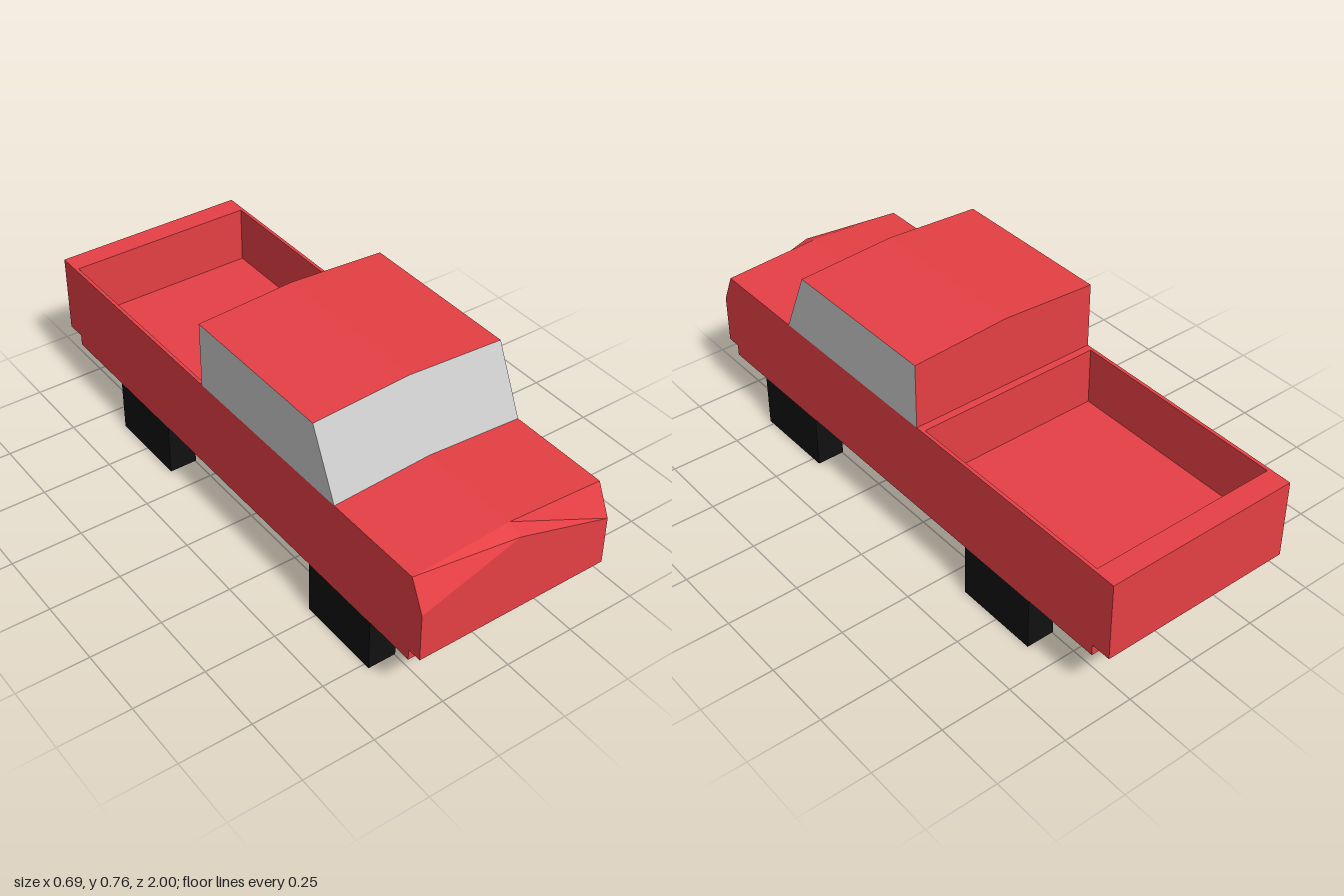
import * as THREE from 'three';

const W = 0.347;     // half width of the truck
const BED_W = 0.335; // half width of the bed opening

const paint = new THREE.MeshStandardMaterial({ color: 0xe74045, flatShading: true, side: THREE.DoubleSide });
const glass = new THREE.MeshStandardMaterial({ color: 0xcccccc, flatShading: true, side: THREE.DoubleSide });
const rubber = new THREE.MeshStandardMaterial({ color: 0x111111, flatShading: true });

// Skin swept across the width: rows of [z, ySide, yCentre], folded along the centre line.
function skin(rows, half = W) {
  const pos = [];
  const at = ([z, side, centre = side], i) => [i * half, i === 0 ? centre : side, z];
  for (let r = 0; r < rows.length - 1; r++) {
    for (const i of [-1, 0]) {
      const a = at(rows[r], i), b = at(rows[r + 1], i);
      const c = at(rows[r + 1], i + 1), d = at(rows[r], i + 1);
      pos.push(...a, ...b, ...c, ...a, ...c, ...d);
    }
  }
  const g = new THREE.BufferGeometry();
  g.setAttribute('position', new THREE.Float32BufferAttribute(pos, 3));
  g.computeVertexNormals();
  return g;
}

// Flat upright panel from [z, y] points, facing outwards on either side.
function sidePanel(points, x) {
  const s = Math.sign(x);
  const shape = new THREE.Shape(points.map(([z, y]) => new THREE.Vector2(-s * z, y)));
  return new THREE.ShapeGeometry(shape).rotateY(s * Math.PI / 2).translate(x, 0, 0);
}

export function createModel() {
  const truck = new THREE.Group();
  truck.name = 'pickupTruck';
  const add = (name, geometry, material) => {
    const mesh = new THREE.Mesh(geometry, material);
    mesh.name = name;
    truck.add(mesh);
  };

  // Lower body: hood, nose, front, underside and tail
  const outline = [
    [0.59, 0.512, 0.533], [0.95, 0.512, 0.533], [1, 0.403, 0.512],
    [1, 0.23], [0.95, 0.23], [0.95, 0.19],
    [-0.93, 0.19], [-0.93, 0.23], [-1, 0.23], [-1, 0.512],
  ];
  add('bodyShell', skin(outline), paint);

  // Bed rim, open in the middle
  const rect = (half, z0, z1) => [[-half, z0], [half, z0], [half, z1], [-half, z1]]
    .map(([x, z]) => new THREE.Vector2(x, -z));
  const rim = new THREE.Shape(rect(W, -0.11, -1));
  rim.holes.push(new THREE.Path(rect(BED_W, -0.14, -0.92)));
  add('bedRim', new THREE.ShapeGeometry(rim).rotateX(-Math.PI / 2).translate(0, 0.512, 0), paint);

  // Bed floor with its end walls
  const tub = [[-0.92, 0.512], [-0.92, 0.305], [-0.14, 0.305], [-0.14, 0.512]];
  add('bedTub', skin(tub, BED_W), paint);

  // Cab
  add('windshield', skin([[0.485, 0.745, 0.765], [0.59, 0.512, 0.533]]), glass);
  add('cabRoof', skin([[-0.113, 0.745, 0.765], [0.485, 0.745, 0.765]]), paint);
  add('cabBack', skin([[-0.113, 0.512], [-0.113, 0.745, 0.765]]), paint);

  const window = [[-0.113, 0.512], [0.59, 0.512], [0.485, 0.745], [-0.113, 0.745]];
  for (const [side, s] of [['left', 1], ['right', -1]]) {
    add(side + 'BodySide', sidePanel(outline, s * W), paint);
    add(side + 'BedWall', sidePanel(tub, s * BED_W), paint);
    add(side + 'Window', sidePanel(window, s * W), glass);

    // Block wheels
    for (const [end, z] of [['Front', 0.618], ['Rear', -0.498]]) {
      const wheel = new THREE.BoxGeometry(0.1, 0.19, 0.305);
      add(side + end + 'Wheel', wheel.translate(s * (W - 0.05), 0.095, z), rubber);
    }
  }
  return truck;
}
